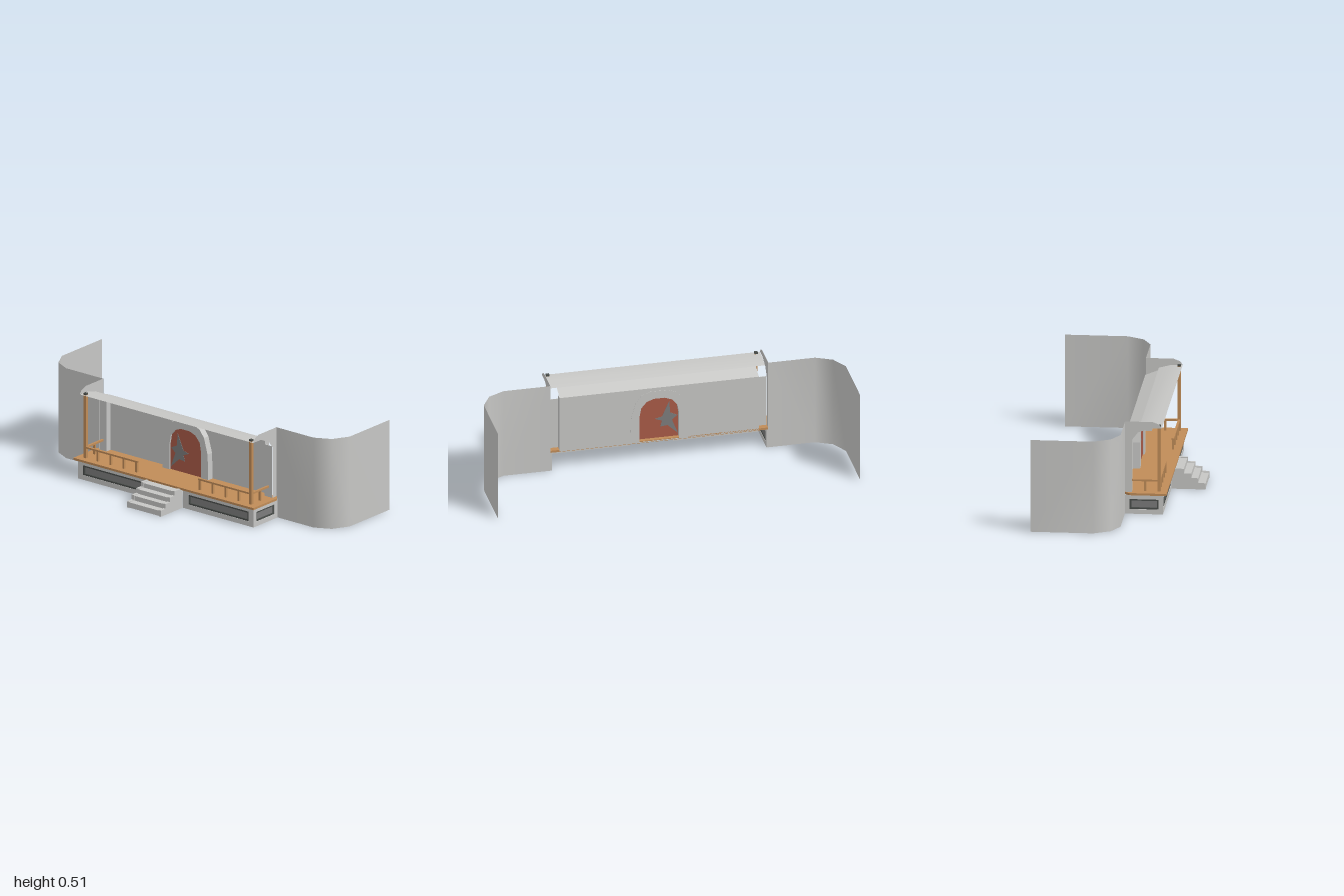
import * as THREE from 'three';

const mat = (name, color, side = THREE.DoubleSide) => {
  const m = new THREE.MeshStandardMaterial({ color, side });
  m.name = name;
  return m;
};

export function createModel() {
  const plaster = mat('plaster', 0xc6c6c4);
  const wood = mat('wood', 0xc08c58);
  const doorRed = mat('door red', 0xa85a47);
  const frameDark = mat('dark frame', 0x4a4e4b);
  const paneGrey = mat('pane grey', 0x7c7c7c);

  const root = new THREE.Group();
  root.name = 'porch';

  const add = (name, geo, material, x = 0, y = 0, z = 0, parent = root) => {
    const m = new THREE.Mesh(geo, material);
    m.name = name;
    m.position.set(x, y, z);
    parent.add(m);
    return m;
  };
  const box = (name, material, x0, x1, y0, y1, z0, z1) =>
    add(name, new THREE.BoxGeometry(x1 - x0, y1 - y0, Math.abs(z1 - z0)), material,
      (x0 + x1) / 2, (y0 + y1) / 2, (z0 + z1) / 2);
  const shapeOf = (pts, hole) => {
    const s = new THREE.Shape(pts.map(p => new THREE.Vector2(...p)));
    if (hole) s.holes.push(new THREE.Path(hole.map(p => new THREE.Vector2(...p))));
    return s;
  };
  const extrude = (shape, depth) =>
    new THREE.ExtrudeGeometry(shape, { depth, bevelEnabled: false });
  const rect = (a0, a1, b0, b1) => [[a0, b0], [a1, b0], [a1, b1], [a0, b1]];
  // mirror a half outline (right side, bottom to top) across the centre
  const mirror = half => [...half, ...half.map(([a, b]) => [-a, b]).reverse()];

  // smooth open sheet through pairs of points
  const sheet = pairs => {
    const idx = [];
    for (let i = 0; i < pairs.length - 1; i++) {
      const a = 2 * i;
      idx.push(a, a + 1, a + 2, a + 1, a + 3, a + 2);
    }
    const g = new THREE.BufferGeometry();
    g.setAttribute('position', new THREE.Float32BufferAttribute(pairs.flat(2), 3));
    g.setIndex(idx);
    g.computeVertexNormals();
    return g;
  };

  // back wall with an arched opening, facing along x
  const arch = mirror([[0.11, 0.12], [0.11, 0.27], [0.1, 0.325], [0.07, 0.36], [0.03, 0.375]]);
  const outerArch = mirror([[0.16, 0.12], [0.155, 0.27], [0.13, 0.36], [0.1, 0.4], [0.05, 0.42]]);
  const wall = new THREE.ShapeGeometry(shapeOf(rect(-0.55, 0.55, 0.115, 0.44), arch));
  add('backWall', wall.rotateY(Math.PI / 2), plaster, -0.046);

  // door and surround
  const surround = extrude(shapeOf(outerArch, arch), 0.04).rotateY(-Math.PI / 2);
  add('doorSurround', surround, plaster, -0.044);
  add('door', extrude(shapeOf(arch), 0.006).rotateY(-Math.PI / 2), doorRed, -0.068);
  const patch = [[0.02, 0.24], [-0.02, 0.25], [-0.06, 0.34], [-0.065, 0.27], [-0.105, 0.25],
    [-0.075, 0.225], [-0.108, 0.14], [-0.05, 0.195], [-0.01, 0.19], [-0.02, 0.225]];
  add('doorPatch', extrude(shapeOf(patch), 0.009).rotateY(-Math.PI / 2), paneGrey, -0.0665);

  // curved roof
  const roof = [[-0.243, 0.485, 0.6], [-0.18, 0.485, 0.6], [-0.115, 0.468, 0.6],
    [-0.115, 0.468, 0.55], [-0.046, 0.44, 0.55]];
  add('roof', sheet(roof.map(([x, y, w]) => [[x, y, -w], [x, y, w]])), plaster);

  // deck
  const deck = shapeOf([[-0.27, -0.625], [-0.07, -0.625], [-0.046, -0.605],
    [-0.046, 0.605], [-0.07, 0.625], [-0.27, 0.625]]);
  add('deck', extrude(deck, 0.012).rotateX(Math.PI / 2), wood, 0, 0.125);

  const wingPlan = [[-0.045, 0.6], [-0.045, 0.86], [0, 0.95], [0.09, 1], [0.43, 1]];
  const bracket = [[-0.045, 0.11], [-0.045, 0.52], [-0.195, 0.52], [-0.23, 0.506], [-0.245, 0.485],
    [-0.18, 0.485], [-0.115, 0.46], [-0.08, 0.415], [-0.08, 0.11]];
  const ring = (w, h, t) => extrude(shapeOf(rect(-w, w, -h, h),
    rect(t - w, w - t, t - h, h - t).reverse()), 0.012);

  for (const s of [1, -1]) {
    // sweeping side wall
    add('wingWall', sheet(wingPlan.map(([x, z]) => [[x, 0.005, s * z], [x, 0.52, s * z]])), plaster);

    // end bracket and its jamb
    add('endBracket', new THREE.ShapeGeometry(shapeOf(bracket)), plaster, 0, 0, s * 0.602);
    box('jamb', plaster, -0.081, -0.079, 0.12, 0.42, s * 0.55, s * 0.6);
    box('jambReturn', plaster, -0.08, -0.046, 0.12, 0.44, s * 0.549, s * 0.551);

    // corner post with cap
    box('cornerPost', wood, -0.235, -0.219, 0.11, 0.487, s * 0.567, s * 0.583);
    box('postCap', frameDark, -0.236, -0.218, 0.487, 0.496, s * 0.566, s * 0.584);

    // railing
    box('frontRail', wood, -0.233, -0.221, 0.18, 0.19, s * 0.575, s * 0.21);
    box('sideRail', wood, -0.227, -0.08, 0.18, 0.19, s * 0.569, s * 0.581);
    for (const z of [0.49, 0.4, 0.31, 0.22])
      box('baluster', wood, -0.233, -0.221, 0.11, 0.182, s * (z - 0.006), s * (z + 0.006));
    box('sideBaluster', wood, -0.157, -0.145, 0.11, 0.182, s * 0.569, s * 0.581);

    // foundation, front face with vent window
    const front = extrude(shapeOf(rect(-0.245, 0.245, 0.005, 0.113),
      rect(-0.21, 0.21, 0.032, 0.088).reverse()), 0.018).rotateY(-Math.PI / 2);
    add('foundationFront', front, plaster, -0.232, 0, s * 0.365);
    add('ventFrame', ring(0.21, 0.028, 0.009).rotateY(-Math.PI / 2), frameDark, -0.236, 0.06, s * 0.365);
    box('ventPane', paneGrey, -0.238, -0.234, 0.038, 0.082, s * 0.16, s * 0.57);

    // foundation, end face with vent window
    const end = extrude(shapeOf(rect(-0.249, -0.046, 0.005, 0.113),
      rect(-0.226, -0.07, 0.031, 0.087).reverse()), 0.018);
    add('foundationEnd', end, plaster, 0, 0, s * 0.601 - 0.009);
    add('endVentFrame', ring(0.078, 0.028, 0.009), frameDark, -0.148, 0.059, s * 0.6 - 0.006);
    box('endVentPane', paneGrey, -0.22, -0.076, 0.037, 0.081, s * 0.598, s * 0.602);
  }

  // stairs: stepped cheeks with treads between
  const steps = [[-0.435, 0.04], [-0.395, 0.067], [-0.358, 0.093], [-0.318, 0.118]];
  const profile = [[-0.25, 0.005], [-0.435, 0.005]];
  steps.forEach(([x, y], i) => profile.push([x, y], [i < 3 ? steps[i + 1][0] : -0.25, y]));
  for (const s of [1, -1])
    add('stairCheek', extrude(shapeOf(profile), 0.016), plaster, 0, 0, s * 0.11 - 0.008);
  steps.forEach(([x, y], i) => {
    const x1 = i < 3 ? steps[i + 1][0] + 0.004 : -0.25;
    box('tread', plaster, x + 0.002, x1, y - 0.012, y - 0.004, -0.102, 0.102);
    box('riser', plaster, x + 0.002, x + 0.006, y - 0.034, y - 0.006, -0.102, 0.102);
  });

  return root;
}
